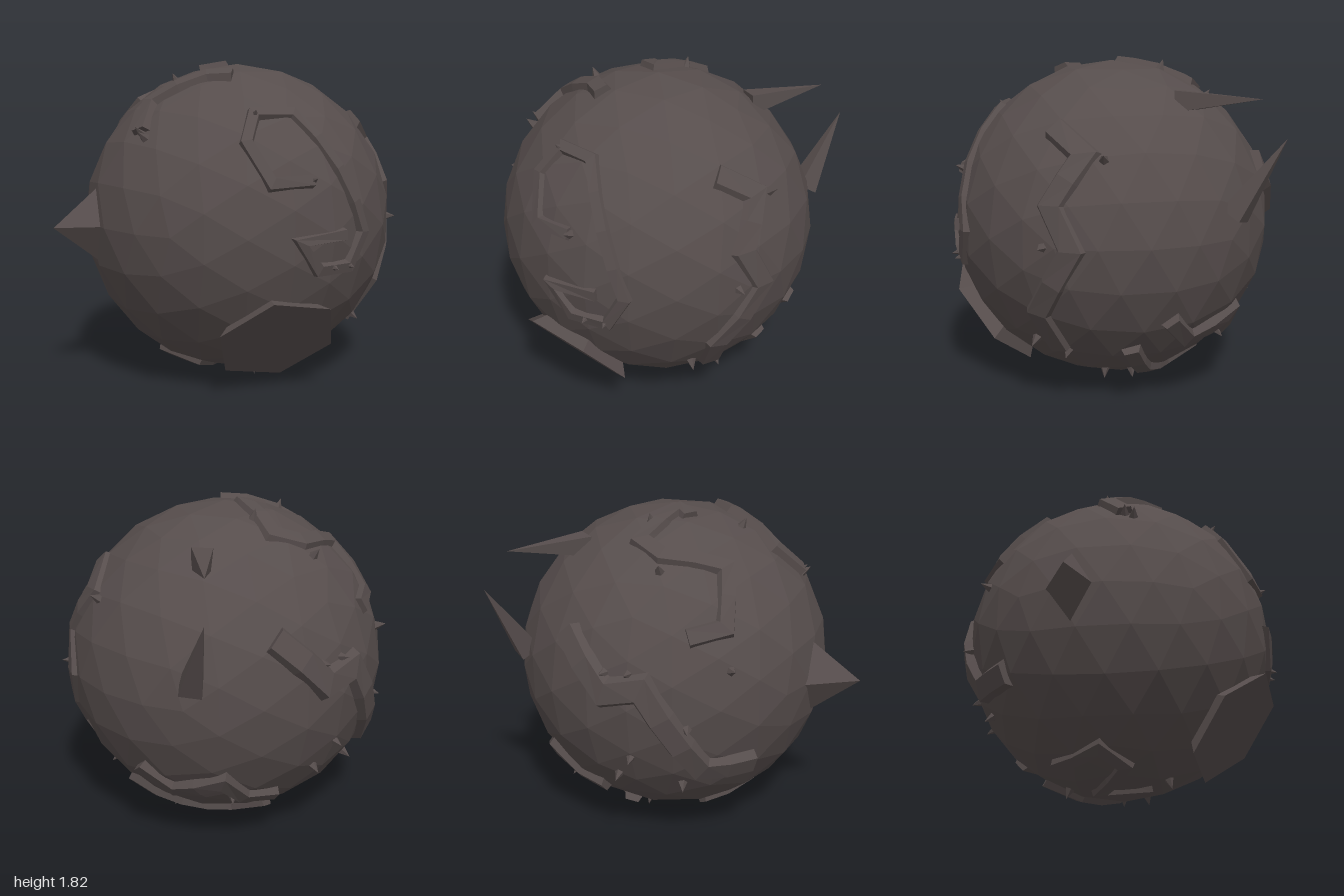
import * as THREE from 'three';

const R = 0.89;
const CENTRE = new THREE.Vector3(0.11, 0.92, 0);
const V = (x, y, z) => new THREE.Vector3(x, y, z);

// Point on the ball seen at (px, py) from a given azimuth and elevation (degrees)
function onBall(azimuth, elevation, px, py) {
  const a = THREE.MathUtils.degToRad(azimuth), e = THREE.MathUtils.degToRad(elevation);
  const dir = V(Math.sin(a) * Math.cos(e), Math.sin(e), Math.cos(a) * Math.cos(e));
  const right = V(Math.cos(a), 0, -Math.sin(a));
  const up = dir.clone().cross(right);
  const depth = Math.sqrt(Math.max(0, R * R - px * px - py * py));
  return right.multiplyScalar(px).addScaledVector(up, py).addScaledVector(dir, depth).setLength(R);
}
const fromFront = ([x, y]) => onBall(0, 0, x - CENTRE.x, y - CENTRE.y);
const fromRight = ([z, y]) => onBall(90, 0, -z, y - CENTRE.y);
const fromTop = ([x, z]) => onBall(0, 90, x - CENTRE.x, -z);
const fromBack = ([x, y]) => onBall(218, 20, x, y);
const fromBelow = ([x, y]) => onBall(142, -42, x, y);

// Raised bevelled band following a zigzag path over the ball
function ridgeGeometry(corners, halfWidth, height) {
  const path = [];
  corners.forEach((p, i) => {
    if (i === corners.length - 1) return path.push(p);
    const q = corners[i + 1], steps = Math.max(1, Math.round(p.distanceTo(q) / 0.2));
    for (let k = 0; k < steps; k++) path.push(p.clone().lerp(q, k / steps).setLength(R));
  });
  const rings = path.map((p, i) => {
    const n = p.clone().normalize();
    const before = p.clone().sub(path[Math.max(i - 1, 0)]).normalize();
    const after = path[Math.min(i + 1, path.length - 1)].clone().sub(p).normalize();
    const t = before.clone().add(after).normalize();
    const side = n.clone().cross(t).normalize();
    const mitre = Math.min(1.5, 1 / Math.max(0.5, t.dot(i ? before : after)));
    const profile = [[-1, -0.06], [1, -0.06], [0.55, height], [-0.55, height]];
    return profile.map(([s, h]) => n.clone().multiplyScalar(R + h).addScaledVector(side, s * halfWidth * mitre));
  });
  const pos = [];
  const quad = (a, b, c, d) => [a, b, c, a, c, d].forEach((v) => pos.push(v.x, v.y, v.z));
  for (let i = 0; i < rings.length - 1; i++) {
    const a = rings[i], b = rings[i + 1];
    for (let j = 0; j < 4; j++) {
      const k = (j + 1) % 4;
      quad(a[j], a[k], b[k], b[j]);
    }
  }
  const first = rings[0], last = rings[rings.length - 1];
  quad(first[3], first[2], first[1], first[0]);
  quad(last[0], last[1], last[2], last[3]);
  const geo = new THREE.BufferGeometry();
  geo.setAttribute('position', new THREE.Float32BufferAttribute(pos, 3));
  geo.computeVertexNormals();
  return geo;
}

export function createModel() {
  const group = new THREE.Group();
  const rock = new THREE.MeshStandardMaterial({ color: 0x564d4c });
  rock.name = 'darkRock';
  rock.flatShading = true;

  const ball = new THREE.Group();
  ball.name = 'rockBall';
  ball.position.copy(CENTRE);
  group.add(ball);
  const add = (name, geo) => {
    const mesh = new THREE.Mesh(geo, rock);
    mesh.name = name;
    ball.add(mesh);
    return mesh;
  };

  // Faceted core
  add('core', new THREE.IcosahedronGeometry(R, 3));

  // Zigzag ridges
  const ridges = [
    ['frontRidge', fromFront, 0.05, 0.02, [[0, 1.21], [-0.22, 1.2], [-0.28, 1.41], [-0.18, 1.55],
      [0.03, 1.55], [0.33, 0.92], [0.23, 0.74], [0.02, 0.74], [-0.1, 0.9], [0.18, 0.92]]],
    ['rightRidge', fromRight, 0.09, 0.02, [[0.42, 1.5], [0.3, 1.38], [0.48, 1.13], [0.39, 0.91], [0.53, 0.55], [0.4, 0.32]]],
    ['topRidge', fromTop, 0.07, 0.02, [[-0.18, -0.75], [-0.35, -0.64], [-0.3, -0.42], [0.03, -0.5],
      [0.17, -0.42], [0.05, -0.1], [-0.03, -0.17]]],
    ['leftTopRidge', fromTop, 0.07, 0.03, [[-0.6, 0.1], [-0.47, -0.01], [-0.2, 0.15], [-0.1, 0.25]]],
    ['backRidge', fromBack, 0.1, 0.035, [[-0.74, 0.21], [-0.64, -0.13], [-0.48, -0.13], [-0.17, -0.61], [0.13, -0.62]]],
    ['lowerBackRidge', fromBelow, 0.07, 0.03, [[-0.53, 0.09], [-0.35, 0], [-0.1, 0.18], [0.02, 0.02], [0.2, -0.03]]],
    ['lowerRightRidge', fromBelow, 0.07, 0.03, [[-0.56, -0.18], [-0.3, -0.35], [0, -0.4], [0.18, -0.27]]],
    ['undersideRidge', fromBelow, 0.06, 0.02, [[-0.1, -0.75], [0.1, -0.62], [0.22, -0.78], [0.4, -0.72], [0.4, -0.52]]],
  ];
  for (const [name, place, width, height, points] of ridges) {
    add(name, ridgeGeometry(points.map(place), width, height));
  }

  // Four-sided spike from a base point to a tip
  function spike(name, base, tip, radius, flatten = 1, sides = 4) {
    const axis = tip.clone().sub(base);
    const geo = new THREE.ConeGeometry(radius, axis.length(), sides);
    geo.translate(0, axis.length() / 2, 0);
    geo.scale(1, 1, flatten);
    const mesh = add(name, geo);
    mesh.position.copy(base);
    mesh.quaternion.setFromUnitVectors(V(0, 1, 0), axis.normalize());
  }
  spike('sideSpike', V(-0.82, 0, -0.17), V(-1.11, 0, -0.17), 0.22, 0.65);
  spike('upperSpike', V(0.43, 0.69, -0.27), V(0.74, 0.72, -0.62), 0.08, 1);
  spike('lowerSpike', V(0.72, 0.12, -0.49), V(0.84, 0.53, -0.72), 0.085, 1);

  // Flared plate low on the front
  const plate = add('frontPlate', new THREE.CylinderGeometry(0.35, 0.29, 0.07, 6));
  const plateDir = V(-0.2, -0.59, 0.66).normalize();
  plate.position.copy(plateDir).multiplyScalar(0.87);
  plate.quaternion.setFromUnitVectors(V(0, 1, 0), plateDir);

  // Small thorns scattered over the ball
  const thorns = [
    ...[[-0.18, 1.54], [0, 1.21], [0.22, 0.75], [0.83, 0.92], [0.65, 0.31], [0.5, 0.13], [0.03, 0.08]].map(fromFront),
    ...[[-0.4, -0.7], [0.02, -0.58], [0.16, -0.27], [-0.29, -0.03], [-0.6, 0.1], [0.24, -0.86]].map(fromTop),
    ...[[0.21, 1.36], [-0.5, 0.33], [-0.02, 0.13], [-0.86, 0.62], [-0.88, 1.12], [0.88, 0.75]].map(fromRight),
    ...[[-0.27, -0.38], [-0.24, -0.7], [0.66, 0.36]].map(fromBack),
    ...[[0.4, 0.12], [0.13, -0.43], [-0.68, -0.5]].map(fromBelow),
  ];
  thorns.forEach((p, i) => spike('thorn' + (i + 1), p.clone().multiplyScalar(0.98), p.clone().multiplyScalar(1.055), 0.03, 1, 5));

  return group;
}
